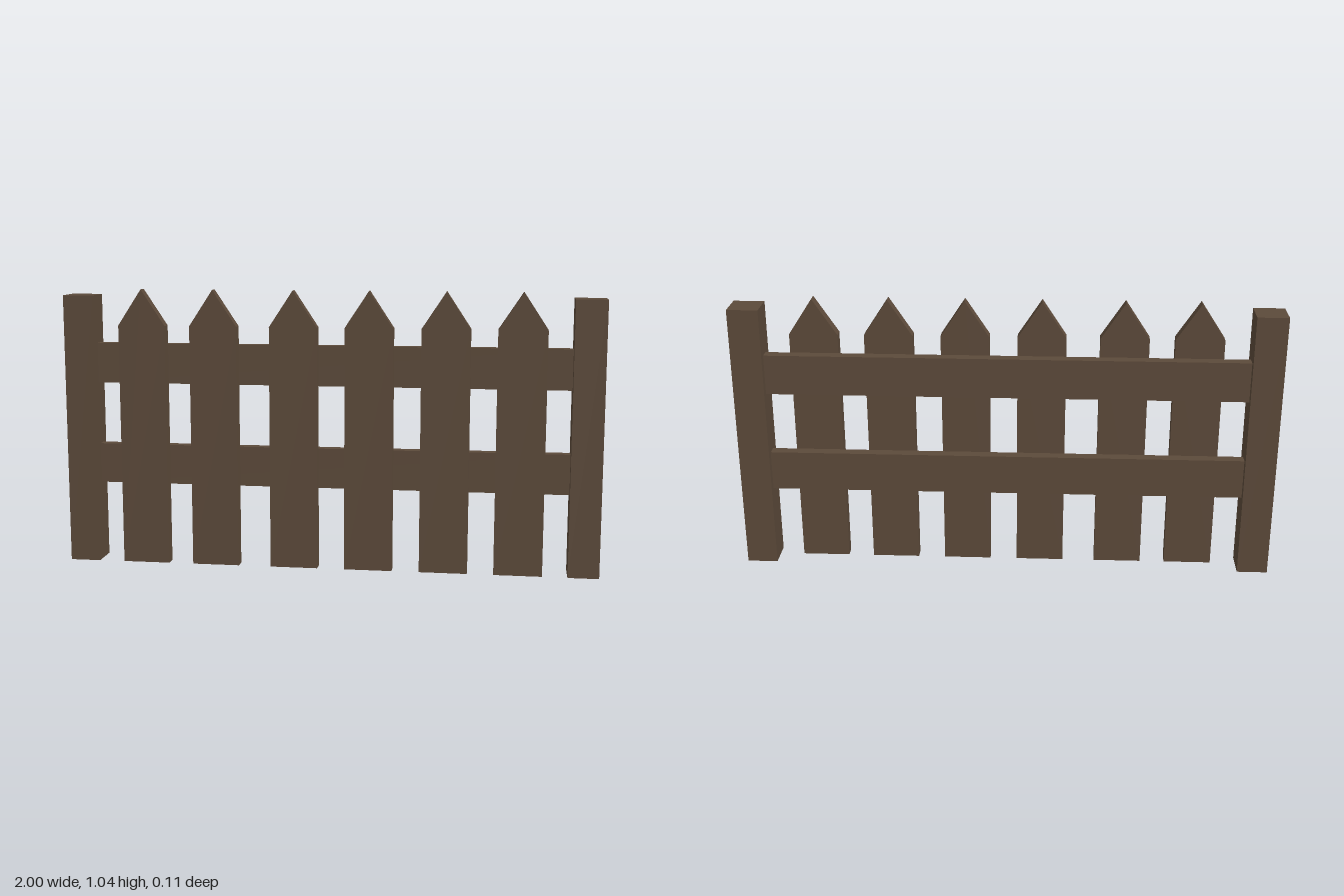
import * as THREE from 'three';

export function createModel() {
  const fence = new THREE.Group();
  fence.name = 'picketFence';
  const wood = new THREE.MeshStandardMaterial({ color: 0x5c4a3a });
  wood.name = 'brown wood';

  const add = (geometry, name, x, y, z) => {
    const mesh = new THREE.Mesh(geometry, wood);
    mesh.name = name;
    mesh.position.set(x, y, z);
    fence.add(mesh);
  };

  // Square end posts
  const postWidth = 0.114, postHeight = 1.016;
  const post = new THREE.BoxGeometry(postWidth, postHeight, postWidth);
  add(post, 'leftPost', 1 - postWidth / 2, postHeight / 2, 0);
  add(post, 'rightPost', -1 + postWidth / 2, postHeight / 2, 0);

  // Horizontal rails between the posts
  const rail = new THREE.BoxGeometry(2 - 2 * postWidth, 0.15, 0.04);
  add(rail, 'lowerRail', 0, 0.375, -0.008);
  add(rail, 'upperRail', 0, 0.76, -0.008);

  // Pointed pickets, unevenly spaced, fixed to the front of the rails
  const half = 0.089;
  const outline = new THREE.Shape([
    new THREE.Vector2(-half, 0),
    new THREE.Vector2(half, 0),
    new THREE.Vector2(half, 0.905),
    new THREE.Vector2(0, 1.04),
    new THREE.Vector2(-half, 0.905),
  ]);
  const picket = new THREE.ExtrudeGeometry(outline, { depth: 0.043, bevelEnabled: false });
  [-0.701, -0.43, -0.13, 0.15, 0.43, 0.705].forEach((x, i) => {
    add(picket, `picket${i + 1}`, x, 0, 0.012);
  });

  return fence;
}
